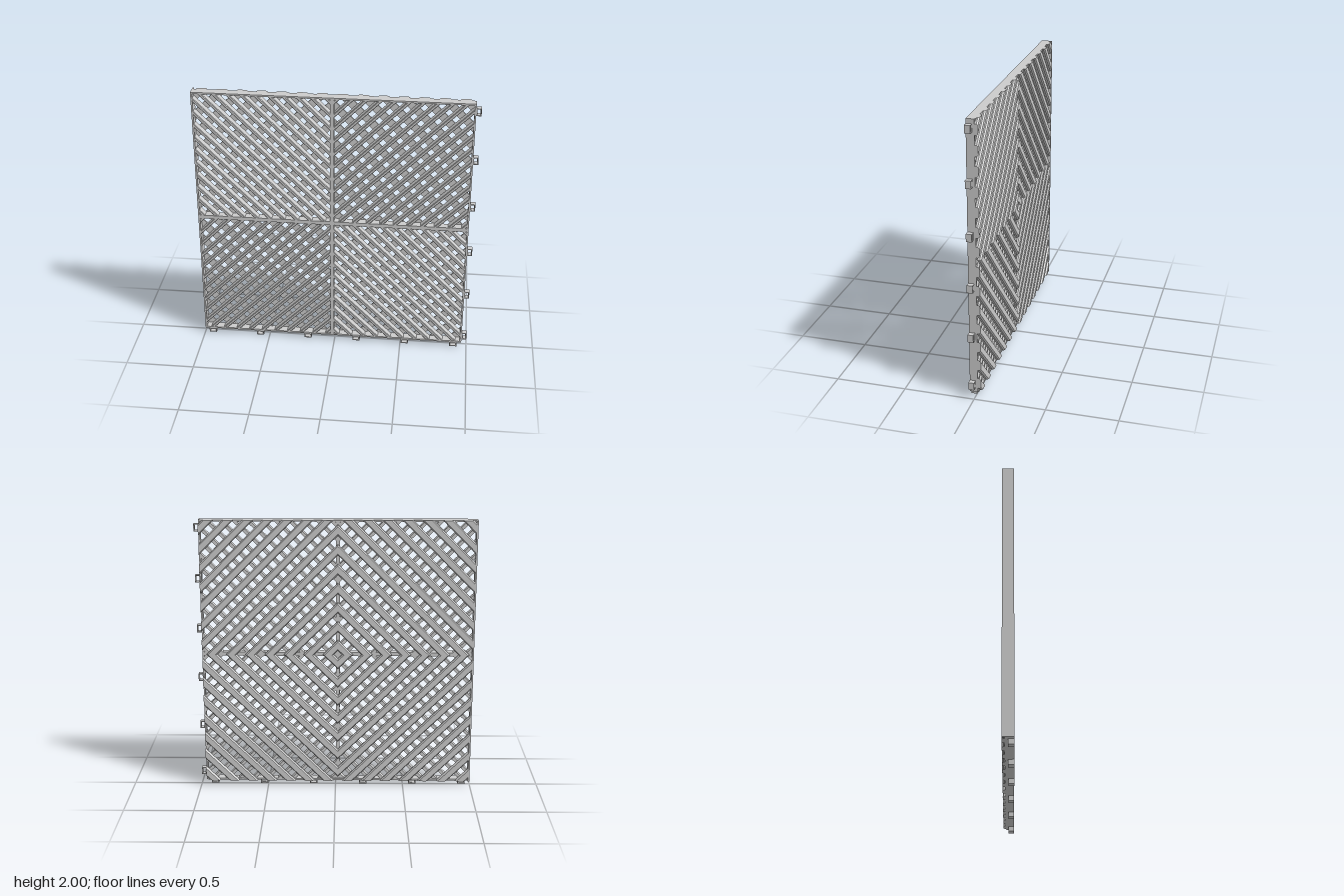
import * as THREE from 'three';
import { mergeGeometries } from 'three/addons/utils/BufferGeometryUtils.js';

const CX = -0.0175, CY = 1.02, S = 0.98;      // panel centre and half size
const FRONT = 0.04, MID = -0.016, BACK = -0.04;

// One diagonal bar of a quadrant: each profile point [offset, z] runs along u + v = c,
// ending on the quadrant's edges. su, sv mirror it; across turns it to the other diagonal.
function diagonalBar(c, profile, su, sv, across) {
  const place = (u, v, z) => [CX + su * (across ? S - u : u), CY + sv * v, z];
  const a = [], b = [];
  for (const [o, z] of profile) {
    const k = c + o * Math.SQRT2, lo = Math.max(0, k - S), hi = Math.min(S, k);
    a.push(place(lo, hi, z));
    b.push(place(hi, lo, z));
  }
  const flip = su * sv * (across ? -1 : 1) < 0;
  const pos = [];
  const tri = (p, q, r) => pos.push(...p, ...(flip ? r : q), ...(flip ? q : r));
  const n = profile.length;
  for (let i = 0; i < n; i++) {
    const j = (i + 1) % n;
    tri(a[i], a[j], b[j]);
    tri(a[i], b[j], b[i]);
    if (i > 0 && i < n - 1) {
      tri(b[0], b[i], b[i + 1]);
      tri(a[0], a[i + 1], a[i]);
    }
  }
  const g = new THREE.BufferGeometry();
  g.setAttribute('position', new THREE.Float32BufferAttribute(pos, 3));
  g.computeVertexNormals();
  return g;
}

function barSet(count, profile, su, sv, across) {
  const pitch = 2 * S / count, parts = [];
  for (let i = 0; i < count; i++) {
    parts.push(diagonalBar((i + 0.5) * pitch, profile, su, sv, across));
  }
  return mergeGeometries(parts);
}

// Open rectangular connector loop with a small locking wedge inside
function loopGeometry() {
  const w = 0.0275, d = 0.036, t = 0.006;
  const shape = new THREE.Shape([[-w, 0], [w, 0], [w, d], [-w, d]].map(p => new THREE.Vector2(...p)));
  shape.holes.push(new THREE.Path(
    [[-w + t, t], [-w + t, d - t], [w - t, d - t], [w - t, t]].map(p => new THREE.Vector2(...p))));
  return new THREE.ExtrudeGeometry(shape, { depth: 0.04, bevelEnabled: false });
}

export function createModel() {
  const model = new THREE.Group();
  model.name = 'floorTile';
  const material = new THREE.MeshStandardMaterial({ color: 0xcccccc, flatShading: true });
  const add = (name, geometry) => {
    const mesh = new THREE.Mesh(geometry, material);
    mesh.name = name;
    model.add(mesh);
    return mesh;
  };
  const box = (name, x0, x1, y0, y1, z0, z1) => {
    add(name, new THREE.BoxGeometry(x1 - x0, y1 - y0, z1 - z0))
      .position.set((x0 + x1) / 2, (y0 + y1) / 2, (z0 + z1) / 2);
  };

  // Outer frame
  const L = CX - S, R = CX + S, B = CY - S, T = CY + S, t = 0.012;
  box('leftEdgeWall', L, L + t, B, T, BACK, FRONT);
  box('rightEdgeWall', R - t, R, B, T, MID, FRONT);
  box('topEdgeWall', L + t, R - t, T - t, T, -0.022, FRONT);
  box('bottomEdgeWall', L + t, R - t, B, B + t, -0.022, FRONT);

  // Centre cross
  const h = 0.0135;
  box('verticalDivider', CX - h, CX + h, B + t, T - t, MID, FRONT);
  box('horizontalDividerA', L + t, CX - h, CY - h, CY + h, MID, FRONT);
  box('horizontalDividerB', CX + h, R - t, CY - h, CY + h, MID, FRONT);

  // Four quadrants: front ribs over wider, bevelled back bars
  const ribProfile = [[-0.011, MID], [0.011, MID], [0.011, 0.033], [0.007, 0.037], [-0.007, 0.037], [-0.011, 0.033]];
  const barProfile = [[-0.019, BACK], [0.019, BACK], [0.027, -0.03], [0.027, MID], [-0.027, MID], [-0.027, -0.03]];
  for (const su of [-1, 1]) {
    for (const sv of [-1, 1]) {
      add('frontRibs', barSet(20, ribProfile, su, sv, true));
      add('backBars', barSet(14, barProfile, su, sv, false));
    }
  }

  // Connector loops along the bottom and one side
  const loop = loopGeometry();
  const wedge = new THREE.CylinderGeometry(0.009, 0.009, 0.03, 3);
  wedge.rotateZ(Math.PI / 2);
  for (let i = 0; i < 6; i++) {
    const step = i * 0.368;
    for (const side of [true, false]) {
      const tab = new THREE.Group();
      tab.name = side ? 'sideConnector' : 'bottomConnector';
      const ring = new THREE.Mesh(loop, material);
      ring.name = 'connectorLoop';
      const lock = new THREE.Mesh(wedge, material);
      lock.name = 'connectorWedge';
      lock.position.set(0, 0.031, 0.008);
      lock.scale.set(1, 0.5, 1);
      tab.add(ring, lock);
      if (side) {
        tab.position.set(R, 0.1 + step, 0);
        tab.rotation.z = -Math.PI / 2;
      } else {
        tab.position.set(-0.94 + step, B, 0);
        tab.rotation.z = Math.PI;
      }
      model.add(tab);
    }
  }
  return model;
}
